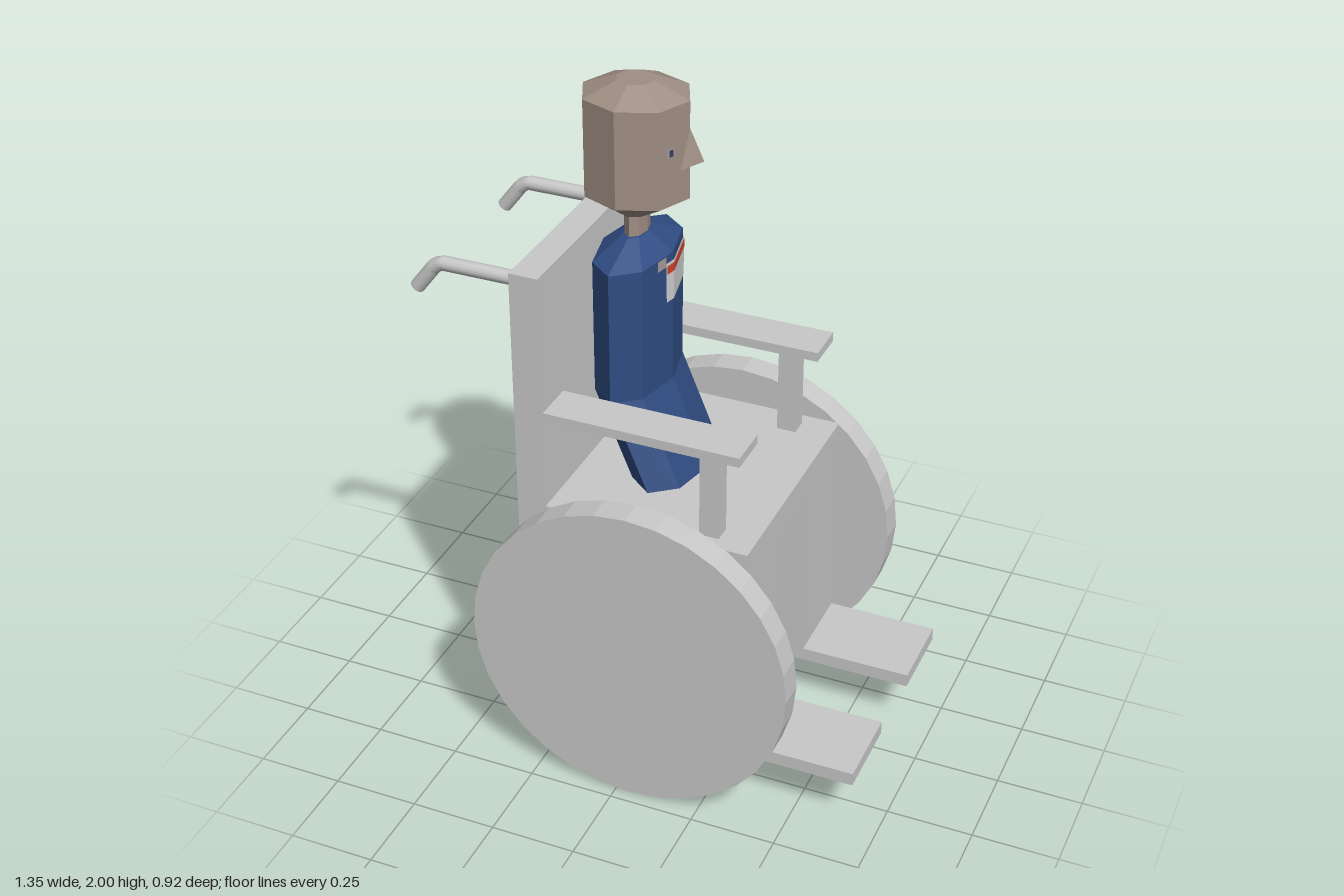
import * as THREE from 'three';

const mat = (name, color) => {
  const m = new THREE.MeshStandardMaterial({ color });
  m.name = name;
  return m;
};

// Flat-shaded geometry from a flat list of triangle corners
function fromCorners(points) {
  const g = new THREE.BufferGeometry();
  g.setAttribute('position', new THREE.Float32BufferAttribute(points.flat(), 3));
  g.computeVertexNormals();
  return g;
}

// Eight-sided body from rings of [y, centre x, radius x, radius z], capped at both ends
function loft(rings) {
  const N = 8, out = [];
  const pt = ([y, cx, rx, rz], i) => {
    const a = (i / N) * Math.PI * 2;
    return [cx + rx * Math.cos(a), y, rz * Math.sin(a)];
  };
  const low = rings[0], high = rings[rings.length - 1];
  for (let i = 0; i < N; i++) {
    for (let r = 0; r < rings.length - 1; r++) {
      const a = pt(rings[r], i), b = pt(rings[r], i + 1);
      const c = pt(rings[r + 1], i + 1), d = pt(rings[r + 1], i);
      out.push(a, d, c, a, c, b);
    }
    out.push([low[1], low[0], 0], pt(low, i), pt(low, i + 1));
    out.push([high[1], high[0], 0], pt(high, i + 1), pt(high, i));
  }
  return fromCorners(out);
}

// Thin painted patch on the two +x faces of an eight-sided body, folded at the ridge
function patch([, cx, rx, rz], z0, z1, y0, y1, lift = 0.003) {
  const xAt = z => cx + rx * (1 - 0.2929 * Math.abs(z) / (rz * 0.7071)) + lift;
  const zs = z0 > 0 && z1 < 0 ? [z0, 0, z1] : [z0, z1];
  const out = [];
  for (let i = 0; i < zs.length - 1; i++) {
    const [p, q] = [zs[i], zs[i + 1]];
    const a = [xAt(p), y0, p], b = [xAt(q), y0, q], c = [xAt(q), y1, q], d = [xAt(p), y1, p];
    out.push(a, b, c, a, c, d);
  }
  return fromCorners(out);
}

export function createModel() {
  const grey = mat('chair grey', 0xc8c8c8);
  const blue = mat('shirt blue', 0x2f4c82);
  const skin = mat('skin', 0x9f8e84);
  const white = mat('patch white', 0xcfcfcf);
  const red = mat('stripe red', 0xd0402a);
  const pale = mat('pale skin', 0xa59c9a);
  const dark = mat('eye blue', 0x36405c);

  const model = new THREE.Group();
  model.name = 'seatedFigure';
  const chair = new THREE.Group();
  chair.name = 'wheelchair';
  const person = new THREE.Group();
  person.name = 'person';
  person.position.z = -0.005;
  model.add(chair, person);

  const add = (parent, name, geometry, material) => {
    const m = new THREE.Mesh(geometry, material);
    m.name = name;
    parent.add(m);
    return m;
  };
  // Box given by its limits on each axis
  const box = (name, x0, x1, y0, y1, z0, z1) => {
    const m = add(chair, name, new THREE.BoxGeometry(x1 - x0, y1 - y0, Math.abs(z1 - z0)), grey);
    m.position.set((x0 + x1) / 2, (y0 + y1) / 2, (z0 + z1) / 2);
  };

  // Seat and backrest
  box('seat', -0.245, 0.352, 0.75, 0.85, -0.36, 0.36);
  box('backrest', -0.33, -0.245, 0.75, 1.56, -0.36, 0.36);

  // Paired chair parts
  const wheelShape = new THREE.CylinderGeometry(0.472, 0.472, 0.08, 32).rotateX(Math.PI / 2).toNonIndexed();
  wheelShape.computeVertexNormals();
  for (const s of [1, -1]) {
    box('legPanel', 0.287, 0.352, 0.16, 0.75, s * 0.115, s * 0.36);
    box('footplate', 0.352, 0.677, 0.16, 0.2, s * 0.115, s * 0.36);
    box('armrest', -0.245, 0.324, 1.122, 1.15, s * 0.23, s * 0.357);
    box('armrestPost', 0.195, 0.252, 0.85, 1.122, s * 0.265, s * 0.318);

    const wheel = add(chair, 'wheel', wheelShape, grey);
    wheel.position.set(0.039, 0.472, s * 0.422);

    // Push handle: straight rod with a bent grip
    const path = new THREE.CurvePath();
    const p = [[-0.32, 1.49], [-0.583, 1.49], [-0.603, 1.476], [-0.66, 1.402]]
      .map(([x, y]) => new THREE.Vector3(x, y, s * 0.262));
    path.add(new THREE.LineCurve3(p[0], p[1]));
    path.add(new THREE.LineCurve3(p[1], p[2]));
    path.add(new THREE.LineCurve3(p[2], p[3]));
    add(chair, 'pushHandle', new THREE.TubeGeometry(path, 24, 0.021, 12), grey);
    const cap = add(chair, 'handleEnd', new THREE.CircleGeometry(0.021, 12), grey);
    cap.position.copy(p[3]);
    cap.lookAt(p[3].clone().multiplyScalar(2).sub(p[2]));
  }

  // Body rings, bottom to top
  const chest = [1.51, -0.1225, 0.1025, 0.196];
  const skull = [1.96, -0.1235, 0.153, 0.142];
  add(person, 'torso', loft([
    [0.85, -0.013, 0.1025, 0.196], [1.115, -0.1225, 0.1025, 0.196],
    chest, [1.56, -0.1225, 0.034, 0.065],
  ]), blue);
  add(person, 'neck', loft([[1.55, -0.1235, 0.03, 0.056], [1.63, -0.1235, 0.03, 0.056]]), skin);
  add(person, 'head', loft([
    [1.615, -0.1235, 0.034, 0.05], [1.68, -0.1235, 0.153, 0.142],
    skull, [2, -0.1235, 0.055, 0.052],
  ]), skin);

  // Nose: three-sided wedge
  const top = [0.026, 1.89, 0], left = [0.01, 1.77, 0.034], right = [0.01, 1.77, -0.034], tip = [0.07, 1.795, 0];
  add(person, 'nose', fromCorners([top, left, tip, top, tip, right, left, right, tip]), skin);

  // Eyes
  for (const s of [1, -1]) {
    const c = s * 0.066;
    add(person, 'eyeWhite', patch(skull, c + 0.012, c - 0.012, 1.822, 1.848), pale);
    add(person, 'iris', patch(skull, c + 0.007, c - 0.007, 1.825, 1.845, 0.005), dark);
  }

  // Chest patch, its stripe and the small tab beside it
  add(person, 'chestPatch', patch(chest, 0.033, -0.138, 1.368, 1.488), white);
  add(person, 'chestStripe', patch(chest, 0.033, -0.138, 1.455, 1.48, 0.005), red);
  add(person, 'chestTab', patch(chest, 0.071, 0.034, 1.478, 1.509), pale);

  return model;
}
